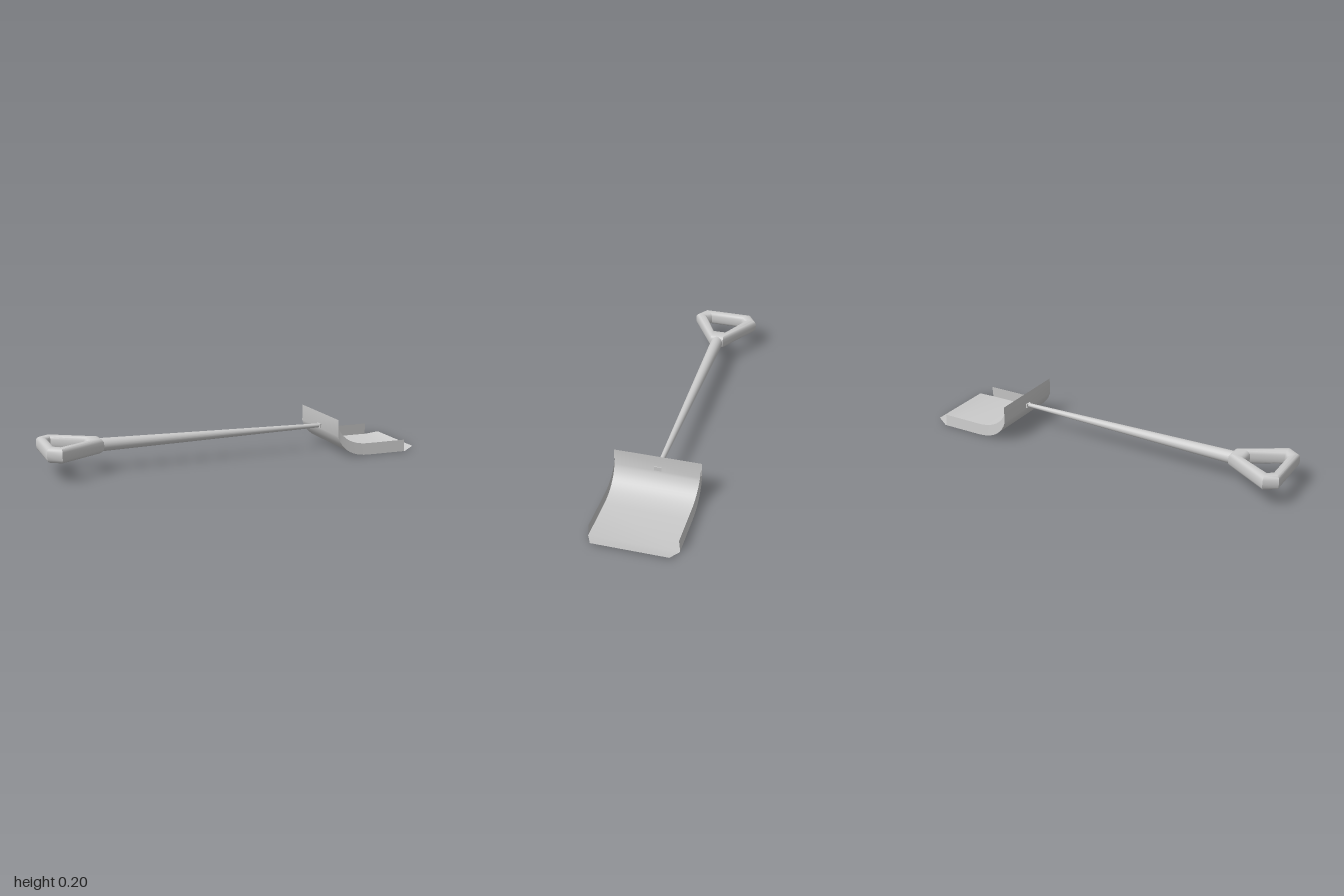
import * as THREE from 'three';
import { toCreasedNormals } from 'three/addons/utils/BufferGeometryUtils.js';

const material = new THREE.MeshStandardMaterial({ color: 0xcccccc });
const sheetMaterial = new THREE.MeshStandardMaterial({ color: 0xcccccc, side: THREE.DoubleSide });

// Skin a list of equally long rows of [x, y, z] points.
function loft(rows, closeRows, closeColumns, crease) {
  const n = rows[0].length, m = rows.length, index = [];
  for (let i = 0; i < (closeRows ? m : m - 1); i++) {
    for (let j = 0; j < (closeColumns ? n : n - 1); j++) {
      const a = i * n + j, b = i * n + (j + 1) % n;
      const c = ((i + 1) % m) * n + j, d = ((i + 1) % m) * n + (j + 1) % n;
      index.push(a, b, c, b, d, c);
    }
  }
  const geometry = new THREE.BufferGeometry();
  geometry.setAttribute('position', new THREE.Float32BufferAttribute(rows.flat(2), 3));
  geometry.setIndex(index);
  return toCreasedNormals(geometry, crease);
}

// Quarter-like bend from a vertical start to a horizontal end.
function bend(x0, y0, x1, y1, count = 12) {
  const k = 0.58;
  return new THREE.CubicBezierCurve(
    new THREE.Vector2(x0, y0), new THREE.Vector2(x0 + 0.02, y0 - (y0 - y1) * k),
    new THREE.Vector2(x1 - (x1 - x0) * k, y1), new THREE.Vector2(x1, y1)
  ).getPoints(count).map((p) => [p.x, p.y]);
}

export function createModel() {
  const group = new THREE.Group();
  const add = (name, geometry, mat = material) => {
    const mesh = new THREE.Mesh(geometry, mat);
    mesh.name = name;
    group.add(mesh);
    return mesh;
  };

  // Scoop: upright back, curved bend, flat floor and raised lip with cut corners
  const half = 0.222;
  const lower = bend(0.527, 0.116, 0.71, 0.002);
  const profile = [
    [0.527, 0.205, half], ...lower.map(([x, y]) => [x, y, half]),
    [0.935, 0.001, half], [1, 0.017, 0.19],
  ];
  add('scoop', loft(profile.map(([x, y, w]) => [[x, y, -w], [x, y, w]]), false, false, 0.5), sheetMaterial);

  // Side walls, leaning slightly inward
  const upper = bend(0.527, 0.172, 0.71, 0.064);
  for (const s of [1, -1]) {
    const rows = lower.map(([x, y], i) => [[x, y, s * half], [upper[i][0], upper[i][1], s * (half - 0.005)]]);
    rows.push([[0.93, 0.001, s * half], [0.93, 0.064, s * (half - 0.005)]]);
    add(s > 0 ? 'frontSideWall' : 'backSideWall', loft(rows, false, false, 0.5), sheetMaterial);
  }

  // Tapered shaft along x
  const shaft = new THREE.CylinderGeometry(0.011, 0.034, 1.23, 20);
  shaft.rotateZ(-Math.PI / 2);
  add('shaft', shaft).position.set(-0.09, 0.132, 0);

  // Small mounting plate where the shaft meets the scoop
  add('mountingPlate', new THREE.BoxGeometry(0.012, 0.022, 0.038)).position.set(0.525, 0.131, 0);

  // Grip: a closed ring swept between an outer and an inner outline
  const outer = [[-1, 0.14], [-0.933, 0.183], [-0.69, 0.036]];
  const inner = [[-0.95, 0.09], [-0.93, 0.112], [-0.778, 0.035]];
  const mirrored = (pts) => [...pts, ...pts.slice().reverse().map(([x, z]) => [x, -z])];
  const inside = mirrored(inner);
  const section = [];
  for (let i = 0; i < 16; i++) {
    const t = (i / 16) * Math.PI * 2;
    const round = (v) => Math.sign(v) * Math.pow(Math.abs(v), 0.7);
    section.push([0.5 + 0.5 * round(Math.cos(t)), 0.038 * round(Math.sin(t))]);
  }
  const rings = mirrored(outer).map(([x, z], i) => section.map(([u, y]) => [
    THREE.MathUtils.lerp(inside[i][0], x, u), 0.133 + y, THREE.MathUtils.lerp(inside[i][1], z, u),
  ]));
  add('grip', loft(rings, true, true, 0.6), sheetMaterial);

  return group;
}
